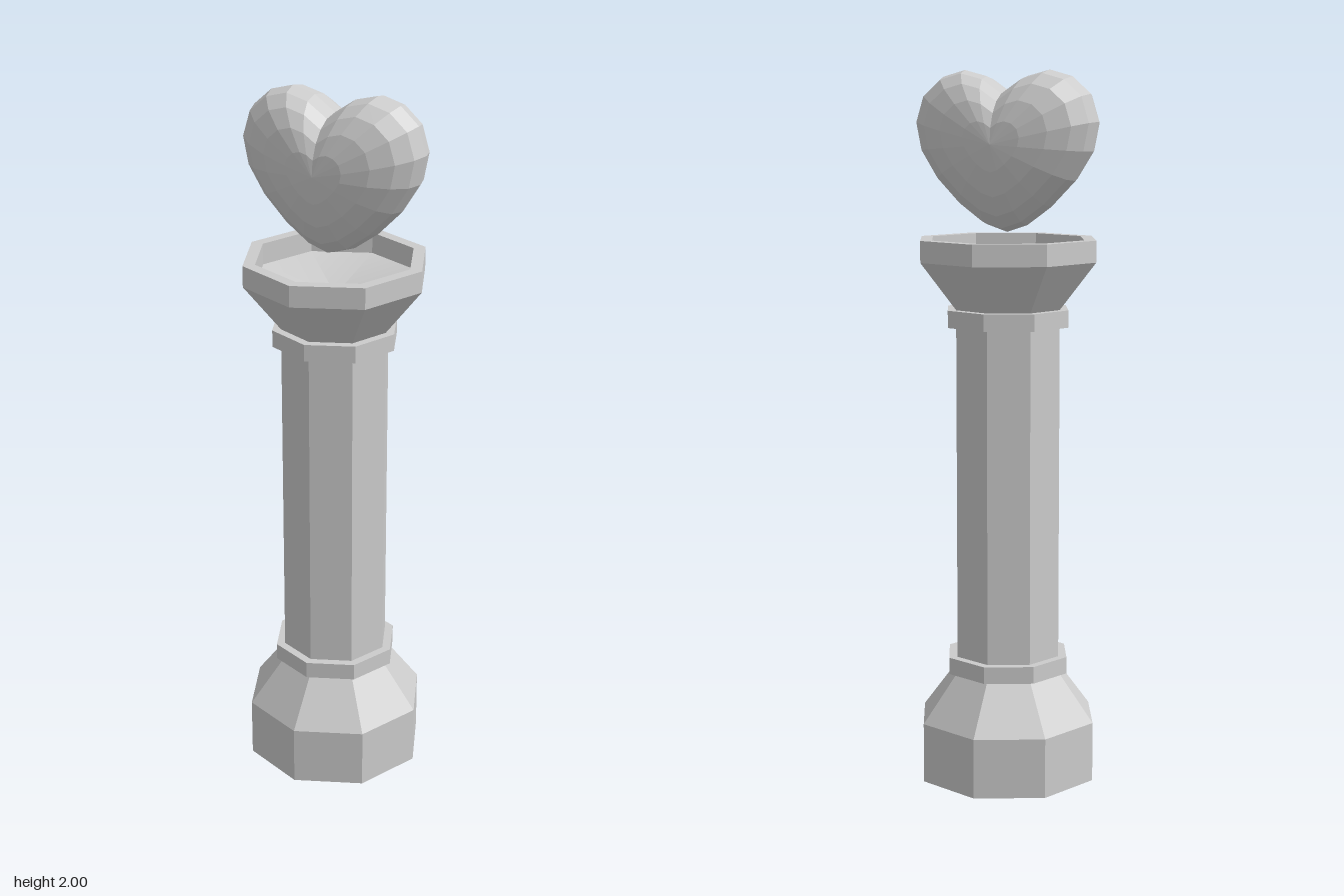
import * as THREE from 'three';

const stone = new THREE.MeshStandardMaterial({ color: 0xcccccc, flatShading: true });
const smoothStone = new THREE.MeshStandardMaterial({ color: 0xcccccc });

// Octagonal turned part from [radius, height] pairs, bottom to top
function turned(name, profile, material = stone) {
  const points = profile.map(([r, y]) => new THREE.Vector2(r, y));
  const mesh = new THREE.Mesh(new THREE.LatheGeometry(points, 8), material);
  mesh.name = name;
  return mesh;
}

// Rounded low-poly heart: a sphere with poles on z, its rings reshaped to the outline
function heart() {
  const outline = [
    [0, 1.942], [0.06, 1.983], [0.125, 2.0], [0.19, 1.982], [0.243, 1.935], [0.266, 1.86],
    [0.25, 1.78], [0.2, 1.70], [0.13, 1.628], [0.06, 1.577], [0, 1.557],
  ];
  const centreY = 1.8;
  const steps = outline.length - 1;
  const geometry = new THREE.SphereGeometry(1, steps * 2, 10);
  geometry.rotateX(Math.PI / 2);
  const p = geometry.attributes.position;
  for (let i = 0; i < p.count; i++) {
    const x = p.getX(i), y = p.getY(i), z = p.getZ(i);
    const rho = Math.hypot(x, y);
    const [ox, oy] = outline[Math.round((Math.abs(Math.atan2(x, y)) / Math.PI) * steps)];
    p.setXYZ(
      i,
      Math.sign(x) * ox * rho,
      centreY + (oy - centreY) * rho,
      0.01 + 0.132 * Math.sign(z) * Math.abs(z) ** 0.9
    );
  }
  geometry.computeVertexNormals();
  const mesh = new THREE.Mesh(geometry, stone);
  mesh.name = 'heart';
  return mesh;
}

export function createModel() {
  const model = new THREE.Group();
  model.name = 'heartPillar';

  const pillar = new THREE.Group();
  pillar.name = 'pillar';
  pillar.position.x = -0.005;
  pillar.add(
    turned('base', [[0, 0], [0.26, 0], [0.26, 0.17], [0.155, 0.31]]),
    turned('shaft', [[0.155, 0.33], [0.155, 1.32]]),
    // Flared capital with a hollow rim
    turned('capital', [[0.15, 1.34], [0.26, 1.48], [0.26, 1.54], [0.225, 1.54], [0.225, 1.48]]),
    // Shallow bowl floor inside the rim
    turned('bowlFloor', [[0.225, 1.48], [0, 1.43]], smoothStone)
  );
  // Collars at both ends of the shaft
  for (const [name, y] of [['lowerCollar', 0.308], ['upperCollar', 1.298]]) {
    pillar.add(turned(name, [[0, y], [0.18, y], [0.18, y + 0.048], [0, y + 0.048]]));
  }

  model.add(pillar, heart());
  return model;
}
